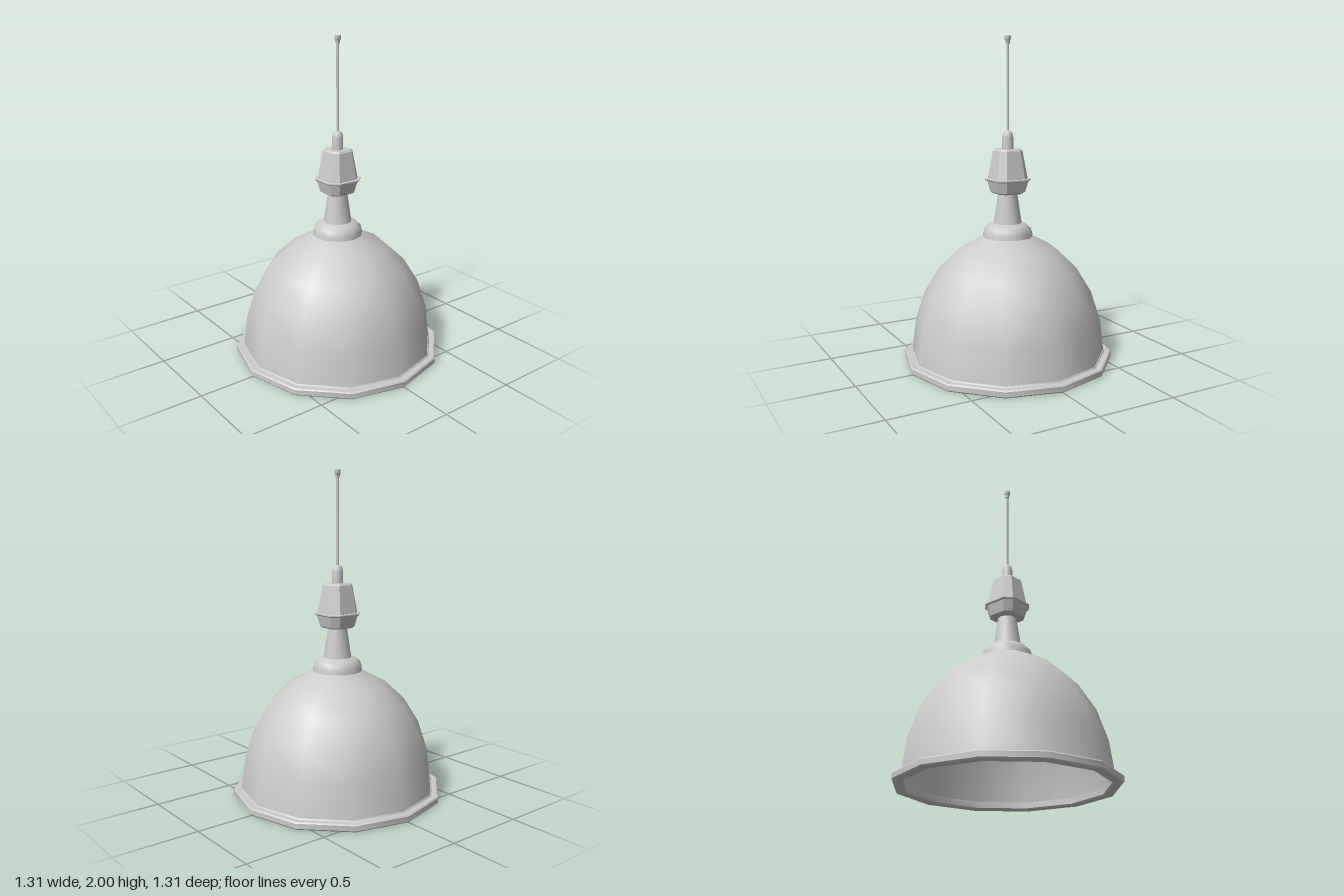
import * as THREE from 'three';
import { toCreasedNormals } from 'three/addons/utils/BufferGeometryUtils.js';

const smooth = new THREE.MeshStandardMaterial({ color: 0xcccccc });
const open = new THREE.MeshStandardMaterial({ color: 0xcccccc, side: THREE.DoubleSide });
const faceted = new THREE.MeshStandardMaterial({ color: 0xcccccc, flatShading: true });

const profile = (pts) => pts.map(([r, y]) => new THREE.Vector2(r, y));

// Turned part; profiles run so that the outside is on the right (upwards = outward)
function turned(name, pts, sides, material = smooth, crease = 0.75) {
  const geometry = toCreasedNormals(new THREE.LatheGeometry(profile(pts), sides), crease);
  const mesh = new THREE.Mesh(geometry, material);
  mesh.name = name;
  return mesh;
}

// Part with a chamfered-square section; r is the distance to the flat sides
function chamfered(name, pts) {
  const geometry = new THREE.LatheGeometry(profile(pts), 8, Math.PI / 8);
  const p = geometry.attributes.position;
  for (let i = 0; i < p.count; i++) {
    const x = p.getX(i), z = p.getZ(i), r = Math.hypot(x, z);
    const wide = Math.abs(x) > Math.abs(z);
    p.setX(i, Math.sign(x) * r * (wide ? 1 : 0.6));
    p.setZ(i, Math.sign(z) * r * (wide ? 0.6 : 1));
  }
  const mesh = new THREE.Mesh(geometry, faceted);
  mesh.name = name;
  return mesh;
}

export function createModel() {
  const lamp = new THREE.Group();
  lamp.name = 'pendantLamp';

  // Bell-shaped shade, open underneath
  lamp.add(turned('shade', [
    [0.607, 0.045], [0.582, 0.245], [0.522, 0.43], [0.425, 0.588], [0.3, 0.705], [0.15, 0.785],
  ], 12, open));

  // Lining of the lower shade, running down to the rim
  lamp.add(turned('shadeLining', [
    [0.515, 0.425], [0.568, 0.245], [0.59, 0.045],
  ], 12, open));

  // Rim band with bevelled edges and a small lip
  lamp.add(turned('rim', [
    [0.59, 0.05], [0.59, 0.008], [0.597, 0], [0.648, 0], [0.655, 0.008],
    [0.655, 0.038], [0.648, 0.045], [0.615, 0.045], [0.61, 0.052], [0.59, 0.052],
  ], 12, open, 0.6));

  // Collar and tapering neck
  lamp.add(turned('collar', [
    [0.155, 0.775], [0.152, 0.805], [0.143, 0.835], [0.122, 0.856], [0.085, 0.868],
  ], 12));
  lamp.add(turned('neck', [[0.088, 0.855], [0.077, 0.93], [0.056, 1.07]], 12, open));

  // Lamp holder: lower cup, ring and tapered housing
  lamp.add(chamfered('holderCup', [[0.05, 1.052], [0.078, 1.052], [0.092, 1.062], [0.11, 1.132]]));
  lamp.add(chamfered('holderRing', [
    [0.1, 1.13], [0.115, 1.13], [0.12, 1.136], [0.12, 1.143], [0.1, 1.146],
  ]));
  lamp.add(chamfered('holderHousing', [[0.106, 1.14], [0.077, 1.315], [0.068, 1.325], [0.028, 1.325]]));

  // Rounded cable gland
  lamp.add(turned('cableGland', [
    [0.034, 1.32], [0.034, 1.395], [0.03, 1.418], [0.021, 1.432], [0.008, 1.436],
  ], 12));

  // Thin cable with a flared, open end
  lamp.add(turned('cable', [[0.008, 1.43], [0.008, 1.96]], 8));
  lamp.add(turned('cableEnd', [
    [0.008, 1.952], [0.013, 1.952], [0.014, 1.97], [0.019, 1.98], [0.019, 2], [0.012, 2],
  ], 8, smooth, 0.8));

  return lamp;
}
